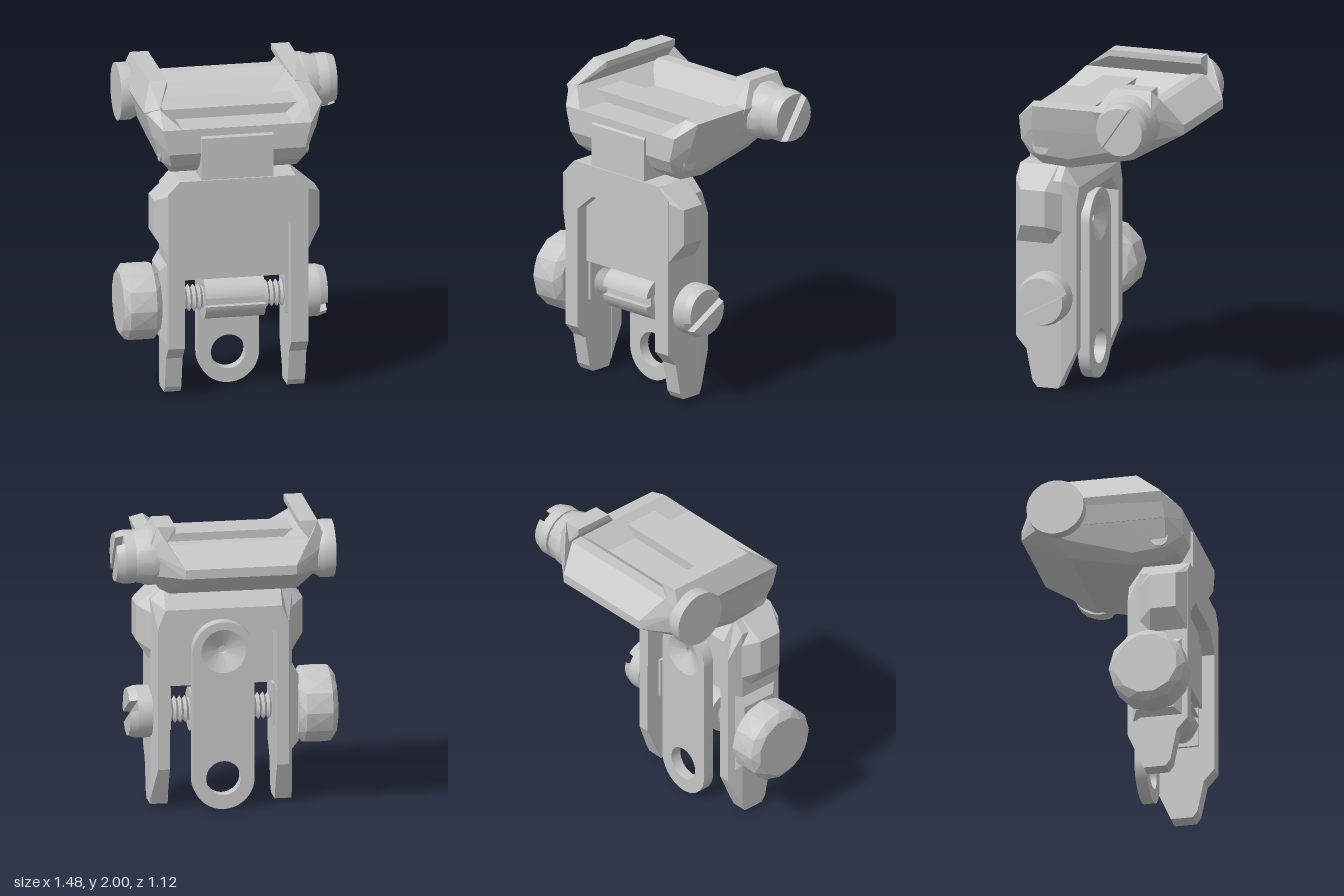
import * as THREE from 'three';
import { toCreasedNormals } from 'three/addons/utils/BufferGeometryUtils.js';
import { ConvexGeometry } from 'three/addons/geometries/ConvexGeometry.js';

const CX = -0.02; // symmetry plane of the body

export function createModel() {
  const root = new THREE.Group();
  const grey = new THREE.MeshStandardMaterial({ color: 0xc6c6c6 });
  grey.name = 'plain grey metal';

  const add = (name, geo, crease = 0.6) => {
    const mesh = new THREE.Mesh(toCreasedNormals(geo, crease), grey);
    mesh.name = name;
    root.add(mesh);
    return mesh;
  };
  const v = (x, y, z) => new THREE.Vector3(x, y, z);
  // convex solid; points are [half width, y, z] on one or both sides of CX
  const hull = (name, pts, sides = [-1, 1]) =>
    add(name, new ConvexGeometry(sides.flatMap(s => pts.map(([h, y, z]) => v(CX + s * h, y, z)))), 0.1);
  const box = (name, x0, x1, y0, y1, z0, z1) => {
    const g = new THREE.BoxGeometry(x1 - x0, y1 - y0, z1 - z0);
    g.translate((x0 + x1) / 2, (y0 + y1) / 2, (z0 + z1) / 2);
    return add(name, g, 0.1);
  };
  const extrude = (shape, depth) =>
    new THREE.ExtrudeGeometry(shape, { depth, bevelEnabled: false, curveSegments: 24 });
  // shape drawn as (-z, y), pushed along +x from x0 to x1
  const alongX = (name, shape, x0, x1) =>
    add(name, extrude(shape, x1 - x0).rotateY(Math.PI / 2).translate(x0, 0, 0), 0.3);
  const sideShape = pts => new THREE.Shape(pts.map(([z, y]) => new THREE.Vector2(-z, y)));
  // turned part on an x axis; profile is [radius, x]
  const turned = (name, prof, y, z, seg = 28) => {
    const g = new THREE.LatheGeometry(prof.map(([r, x]) => new THREE.Vector2(r, x)), seg);
    return add(name, g.rotateZ(-Math.PI / 2).translate(0, y, z), 0.5);
  };

  // ---------- lower frame ----------
  const arch = new THREE.Shape([
    [-0.465, 0.76], [-0.36, 0.76], [-0.36, 1.12], [-0.23, 1.23], [0.19, 1.23], [0.315, 1.12],
    [0.315, 0.76], [0.425, 0.76], [0.425, 1.35], [0.345, 1.43], [-0.39, 1.43], [-0.465, 1.35],
  ].map(p => new THREE.Vector2(...p)));
  add('frameArch', extrude(arch, 0.3).translate(0, 0, 0.22), 0.1);
  const rear = extrude(arch, 0.09).translate(0, 0, 0.13), rp = rear.attributes.position;
  for (let i = 0; i < rp.count; i++) { // bevel the rear top edge, corners and sides
    if (rp.getZ(i) > 0.2) continue;
    if (rp.getY(i) > 1.4) rp.setY(i, 1.3);
    else if (rp.getY(i) > 1.3) rp.setY(i, 1.18);
    rp.setX(i, CX + THREE.MathUtils.clamp(rp.getX(i) - CX, -0.412, 0.412));
  }
  add('frameArchRear', rear, 0.1);

  const leg = [[0.52, 0.76], [0.52, 0.34], [0.45, 0.26], [0.41, 0.06], [0.38, 0.02],
    [0.24, 0.02], [0.22, 0.065], [0.22, 0.76]];
  alongX('rightLeg', sideShape(leg), -0.465, -0.36);
  alongX('leftLeg', sideShape(leg), 0.315, 0.425);
  for (const s of [-1, 1]) {
    hull('legRear', [[0.338, 0.065, 0.22], [0.445, 0.065, 0.22], [0.338, 0.76, 0.22], [0.445, 0.76, 0.22],
      [0.338, 0.27, 0.13], [0.412, 0.27, 0.13], [0.338, 0.76, 0.13], [0.412, 0.76, 0.13]], [s]);
  }
  box('frontPanel', -0.37, 0.325, 0.76, 1.24, 0.3, 0.44);
  box('rightScrewSeat', -0.365, -0.342, 0.5, 0.77, 0.22, 0.42);
  box('leftScrewSeat', 0.297, 0.32, 0.5, 0.77, 0.22, 0.42);

  // protective side wings
  for (const s of [-1, 1]) {
    hull('sideWing', [[0.37, 1.43, 0.52], [0.37, 1.43, 0.27], [0.44, 0.94, 0.52], [0.44, 0.94, 0.28],
      [0.44, 1.34, 0.52], [0.525, 1.3, 0.46], [0.525, 1.3, 0.3], [0.525, 1.07, 0.46],
      [0.525, 1.07, 0.3], [0.43, 1.26, 0.2], [0.43, 1.02, 0.2]], [s]);
  }

  // ---------- aperture arm ----------
  const arm = new THREE.Shape();
  arm.absarc(CX, 0.195, 0.195, Math.PI, 2 * Math.PI);
  arm.absarc(CX, 1.015, 0.195, 0, Math.PI);
  for (const [y, r] of [[0.2, 0.11], [1.02, 0.14]]) {
    const hole = new THREE.Path();
    hole.absarc(CX, y, r, 0, Math.PI * 2, true);
    arm.holes.push(hole);
  }
  add('apertureArm', extrude(arm, 0.075).translate(0, 0, 0.125), 0.3);
  // conical dish with a pinhole
  const dish = new THREE.LatheGeometry([[0.14, 0.125], [0.025, 0.175], [0.025, 0.2], [0.14, 0.2]]
    .reverse().map(p => new THREE.Vector2(...p)), 32);
  add('apertureDish', dish.rotateX(Math.PI / 2).translate(CX, 1.02, 0), 0.5);

  // ---------- windage screw ----------
  const WY = 0.605, WZ = 0.315;
  const drum = new THREE.Shape();
  const notch = 0.2;
  drum.absarc(-WZ, WY, 0.137, -Math.PI + notch, Math.PI - notch);
  drum.lineTo(-WZ - 0.095, WY + 0.027);
  drum.lineTo(-WZ - 0.095, WY - 0.027);
  alongX('windageDrum', drum, -0.21, 0.17);
  const thread = [];
  for (let i = 0; i <= 44; i++) thread.push([i % 2 ? 0.085 : 0.062, -0.38 + i * 0.0164]);
  turned('windageThread', thread, WY, WZ, 20);

  // faceted knob: staggered rings
  const ringPts = [];
  [[-0.742, 0.2, 0.5], [-0.705, 0.245, 0], [-0.622, 0.242, 0.5], [-0.54, 0.245, 0], [-0.5, 0.2, 0.5]]
    .forEach(([x, r, o]) => {
      for (let i = 0; i < 12; i++) {
        const a = (i + o) / 12 * Math.PI * 2;
        ringPts.push(v(x, WY + r * Math.sin(a), WZ + r * Math.cos(a)));
      }
    });
  add('windageKnob', new ConvexGeometry(ringPts), 0.1);
  hull('knobBoss', [[0.485, 0.4, 0.2], [0.485, 0.4, 0.44], [0.485, 0.83, 0.2], [0.485, 0.83, 0.44],
    [0.43, 0.35, 0.17], [0.43, 0.35, 0.5], [0.43, 0.9, 0.17], [0.43, 0.9, 0.5]], [-1]);

  // slotted screw head facing +x
  const slottedHead = (name, x0, x1, r, y, z, angle) => {
    const mid = x1 - 0.05, h = 0.033;
    turned(name, [[0, x0], [r, x0], [r, mid], [0, mid]], y, z);
    for (const flip of [0, Math.PI]) {
      const a = Math.asin(h / r), half = new THREE.Shape();
      half.absarc(0, 0, r, a, Math.PI - a);
      const g = extrude(half, 0.05), p = g.attributes.position;
      for (let i = 0; i < p.count; i++) { // taper the rim outward
        if (p.getZ(i) < 0.04) continue;
        p.setX(i, p.getX(i) * 0.9);
        p.setY(i, Math.max(h, p.getY(i) * 0.9));
      }
      g.rotateZ(angle + flip).rotateY(Math.PI / 2).translate(mid, y, z);
      add(name + 'Half', g, 0.3);
    }
  };
  slottedHead('windageScrewHead', 0.42, 0.562, 0.165, WY, 0.31, 0.5);

  // ---------- hinge ----------
  alongX('hingeBlock', sideShape([[0.508, 1.42], [0.508, 1.7], [0.498, 1.712], [0.25, 1.7],
    [0.22, 1.42]]), -0.25, 0.205);
  for (const s of [-1, 1]) {
    const x = CX + s * 0.452;
    turned('hingePin', [[0, x - 0.02], [0.055, x - 0.02], [0.055, x + 0.02], [0, x + 0.02]], 1.575, 0.345, 20);
  }

  // ---------- rail mount ----------
  hull('mountBody', [[0.4, 1.435, 0.17], [0.4, 1.45, 0.36], [0.41, 1.51, 0.44], [0.43, 1.6, 0.49],
    [0.455, 1.7, 0.49], [0.517, 1.7, 0.39], [0.455, 1.52, 0.38], [0.45, 1.5, 0.17], [0.4, 1.52, -0.24],
    [0.485, 1.61, -0.24], [0.35, 1.705, -0.56], [0.35, 1.7, -0.56], [0.517, 1.7, -0.42]]);
  box('mountFloor', -0.42, 0.38, 1.69, 1.76, -0.22, 0.49);
  box('crossLug', -0.445, 0.405, 1.7, 1.825, 0.04, 0.265);
  hull('recoilBar', [[0.44, 1.69, -0.18], [0.44, 1.76, -0.18], [0.45, 1.83, -0.25], [0.47, 1.88, -0.32],
    [0.45, 1.88, -0.4], [0.35, 1.76, -0.56], [0.35, 1.7, -0.56], [0.5, 1.7, -0.42]]);
  for (const s of [-1, 1]) {
    hull('mountWall', [[0.35, 1.69, 0.49], [0.35, 1.76, 0.49], [0.47, 1.76, 0.49], [0.455, 1.69, 0.49],
      [0.47, 1.865, 0.39], [0.56, 1.85, 0.37], [0.517, 1.69, 0.39], [0.35, 1.69, -0.42],
      [0.35, 1.76, -0.42], [0.47, 1.865, -0.43], [0.565, 1.85, -0.41], [0.517, 1.69, -0.42],
      [0.36, 1.74, -0.54]], [s]);
    hull('rearCorner', [[0.47, 1.88, -0.39], [0.505, 2, -0.4], [0.47, 1.94, -0.45], [0.35, 1.76, -0.56],
      [0.35, 1.7, -0.56], [0.565, 1.85, -0.41], [0.517, 1.69, -0.42], [0.42, 1.7, -0.38]], [s]);
  }
  // gripping jaws; z ranges for top and base
  const jaw = (name, s, f0, f1, b0, b1) => hull(name, [[f0, b0], [f1, b1]].flatMap(([top, base]) => [
    [0.47, 1.87, base], [0.39, 1.96, top], [0.39, 2, top], [0.505, 2, top], [0.57, 1.85, base],
    [0.54, 1.78, base]]), [s]);
  jaw('fixedJaw', -1, 0.21, -0.4, 0.38, -0.42);
  jaw('clampJaw', 1, -0.15, -0.4, -0.04, -0.42);

  // clamp bolt: nut on one side, slotted head on the other
  turned('clampNut', [[0, -0.635], [0.182, -0.635], [0.182, -0.56], [0.15, -0.5], [0, -0.5]], 1.785, -0.288);
  turned('clampCollar', [[0, 0.47], [0.185, 0.47], [0.187, 0.53], [0.158, 0.63], [0, 0.63]], 1.785, -0.27, 14);
  slottedHead('clampScrewHead', 0.62, 0.74, 0.168, 1.785, -0.28, 0.97);

  return root;
}
